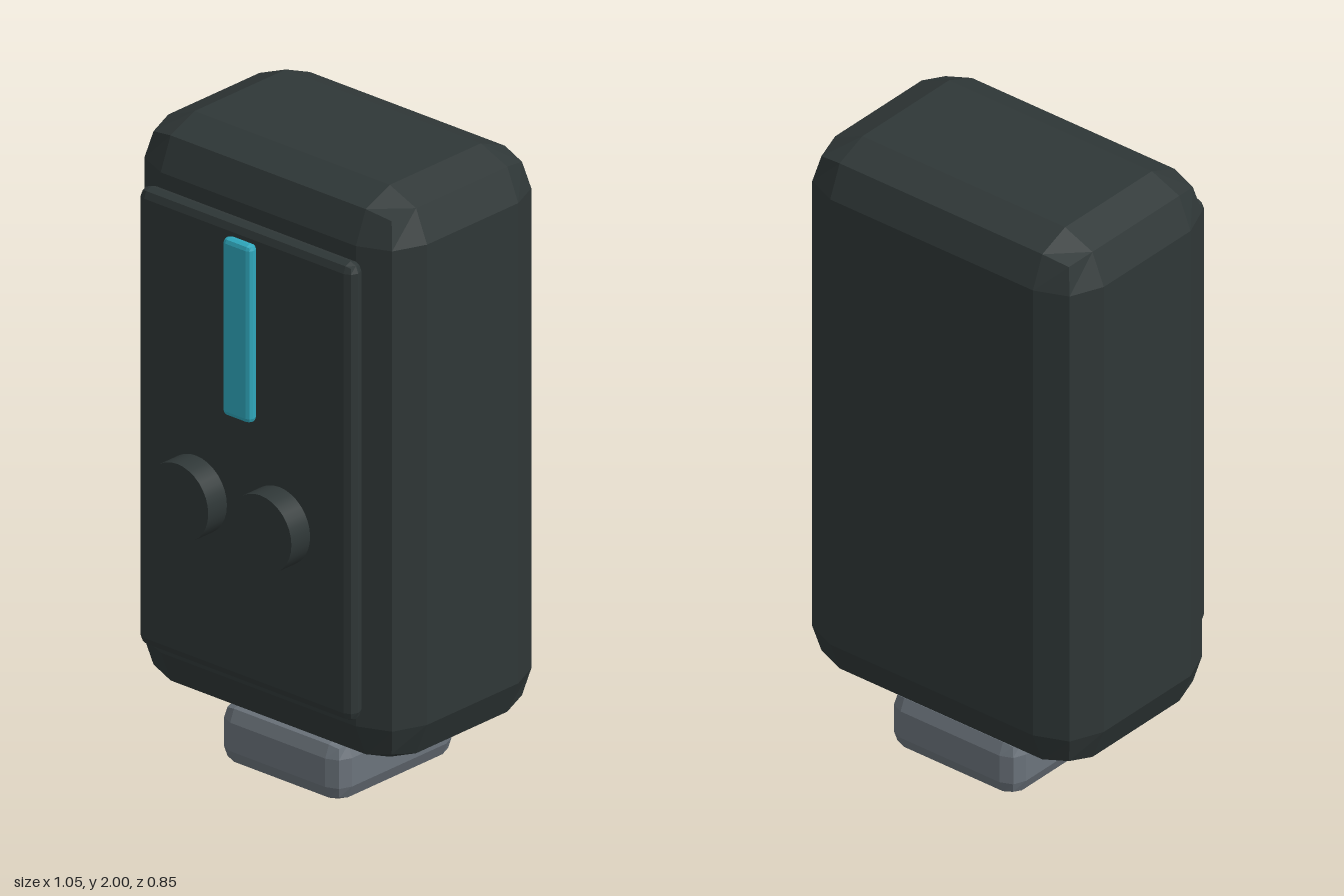
import * as THREE from 'three';
import { RoundedBoxGeometry } from 'three/addons/geometries/RoundedBoxGeometry.js';

const mat = (name, color) => {
  const m = new THREE.MeshStandardMaterial({ color });
  m.name = name;
  return m;
};

// Box with two-facet rounded edges, spanning min to max, with flat facets
function facetedBox(name, min, max, radius, material) {
  const size = max.map((v, i) => v - min[i]);
  const geometry = new RoundedBoxGeometry(...size, 1, radius);
  geometry.computeVertexNormals(); // unshared corners, so every facet is flat
  const mesh = new THREE.Mesh(geometry, material);
  mesh.name = name;
  mesh.position.set(...min.map((v, i) => (v + max[i]) / 2));
  return mesh;
}

export function createModel() {
  const dark = mat('dark casing', 0x2f3737);
  const grey = mat('grey metal', 0x6b737b);
  const cyan = mat('cyan light', 0x2fa8bd);

  const model = new THREE.Group();
  model.name = 'wallReader';

  // Casing, front panel, light strip and bottom plug
  model.add(
    facetedBox('casing', [-0.525, 0.19, -0.425], [0.525, 2, 0.255], 0.145, dark),
    facetedBox('frontPanel', [-0.418, 0.37, 0.255], [0.418, 1.82, 0.317], 0.03, dark),
    facetedBox('lightStrip', [-0.055, 1.22, 0.315], [0.055, 1.783, 0.353], 0.016, cyan),
    facetedBox('bottomPlug', [-0.24, 0, -0.342], [0.24, 0.2, 0.172], 0.055, grey),
  );

  // Pair of round buttons standing just off the panel
  const buttonGeometry = new THREE.CylinderGeometry(0.121, 0.121, 0.08, 32);
  buttonGeometry.rotateX(Math.PI / 2);
  for (const side of [-1, 1]) {
    const button = new THREE.Mesh(buttonGeometry, dark);
    button.name = side > 0 ? 'leftButton' : 'rightButton';
    button.position.set(side * 0.162, 0.935, 0.384);
    model.add(button);
  }
  return model;
}
